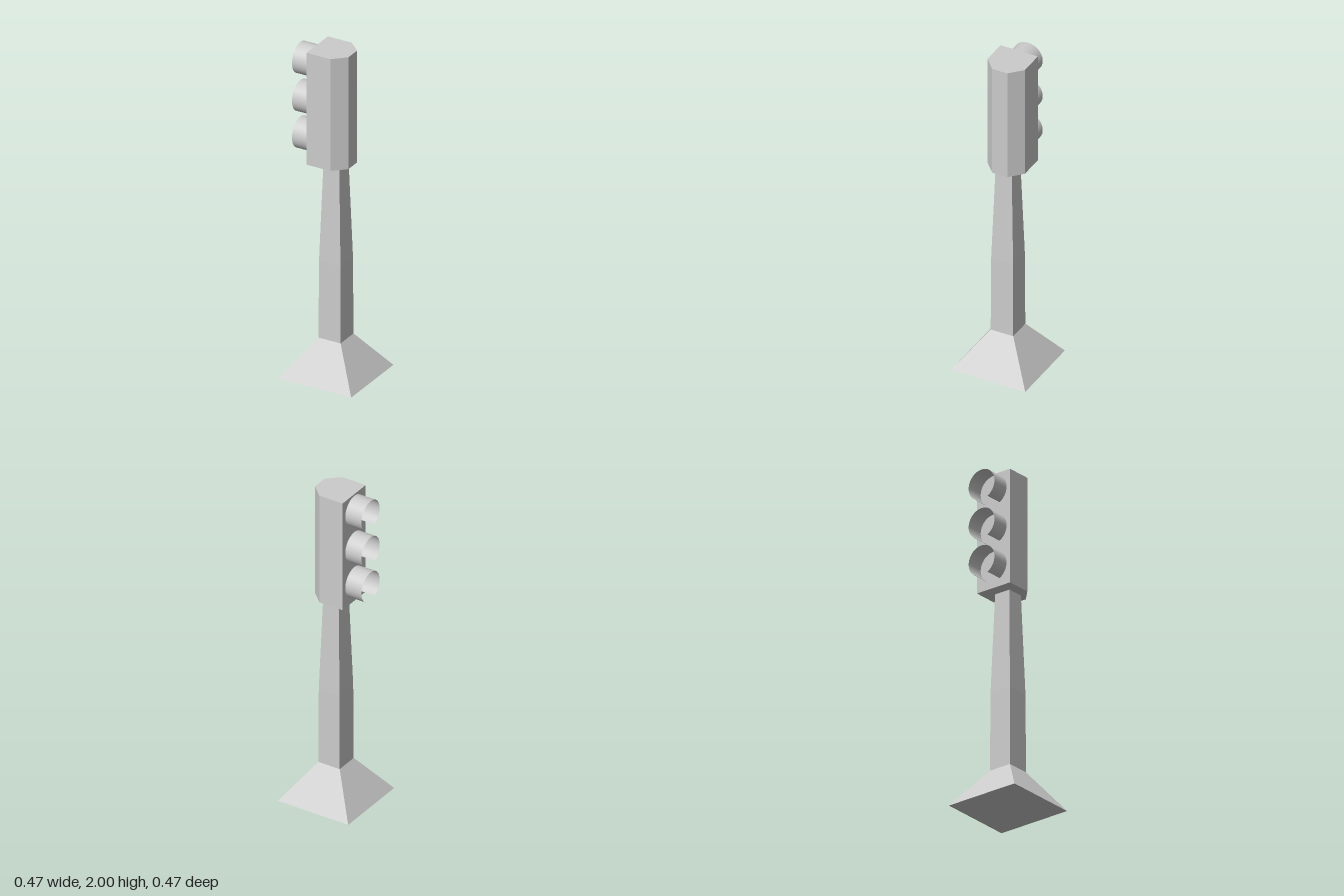
import * as THREE from 'three';

const grey = new THREE.MeshStandardMaterial({ color: 0xcccccc, flatShading: true });
const hoodGrey = new THREE.MeshStandardMaterial({ color: 0xcccccc, side: THREE.DoubleSide });

// Square tapered block between two heights, given half widths
function frustum(name, y0, y1, half0, half1) {
  const geo = new THREE.CylinderGeometry(half1 * Math.SQRT2, half0 * Math.SQRT2, y1 - y0, 4);
  geo.rotateY(Math.PI / 4).translate(0, (y0 + y1) / 2, 0);
  const mesh = new THREE.Mesh(geo, grey);
  mesh.name = name;
  return mesh;
}

export function createModel() {
  const model = new THREE.Group();
  model.name = 'trafficLight';

  // Splayed foot and two-stage post
  model.add(frustum('base', 0, 0.225, 0.233, 0.071));
  model.add(frustum('lowerPost', 0.225, 0.7, 0.071, 0.069));
  model.add(frustum('upperPost', 0.7, 1.305, 0.069, 0.051));

  // Signal housing: plan outline (x, -z) with chamfered back corners
  const plan = [[-0.123, -0.113], [0.03, -0.113], [0.105, -0.043], [0.105, 0.052], [0.03, 0.122], [-0.123, 0.122]];
  const outline = new THREE.Shape(plan.map(([x, y]) => new THREE.Vector2(x, y)));
  const housingGeo = new THREE.ExtrudeGeometry(outline, { depth: 0.695, bevelEnabled: false });
  housingGeo.rotateX(-Math.PI / 2).translate(0, 1.305, 0);
  const housing = new THREE.Mesh(housingGeo, grey);
  housing.name = 'housing';
  model.add(housing);

  // Thin lamp hoods facing -x, open along the bottom
  const gap = 0.48;
  const hoodGeo = new THREE.CylinderGeometry(0.092, 0.092, 0.107, 32, 1, true, -Math.PI / 2 + gap, 2 * Math.PI - 2 * gap);
  hoodGeo.rotateZ(Math.PI / 2);
  [['upperHood', 1.898], ['middleHood', 1.662], ['lowerHood', 1.434]].forEach(([name, y]) => {
    const hood = new THREE.Mesh(hoodGeo, hoodGrey);
    hood.name = name;
    hood.position.set(-0.177, y, -0.003);
    model.add(hood);
  });

  return model;
}
